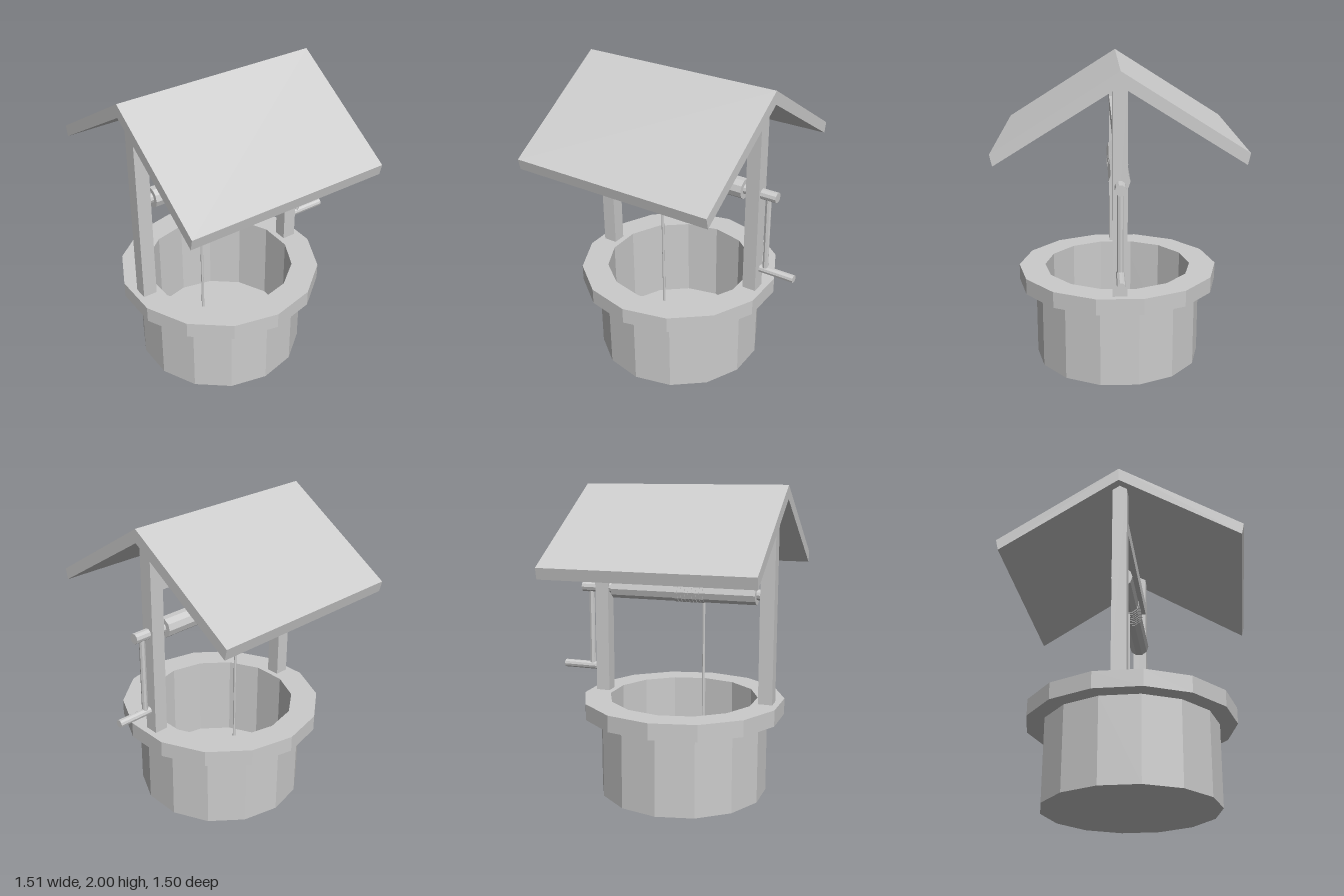
import * as THREE from 'three';

const material = new THREE.MeshStandardMaterial({ color: 0xcccccc, flatShading: true });
const CX = -0.095; // centre line of the well itself (the crank sticks out to +x)
const AXLE_Y = 1.323;

export function createModel() {
  const group = new THREE.Group();

  const add = (name, geometry, x = 0, y = 0, z = 0) => {
    const mesh = new THREE.Mesh(geometry, material);
    mesh.name = name;
    mesh.position.set(x, y, z);
    group.add(mesh);
    return mesh;
  };
  const box = (name, x0, x1, y0, y1, depth) =>
    add(name, new THREE.BoxGeometry(x1 - x0, y1 - y0, depth), (x0 + x1) / 2, (y0 + y1) / 2);
  // Cylinder lying along x
  const rodX = (name, x0, x1, y, r, sides = 10) =>
    add(name, new THREE.CylinderGeometry(r, r, x1 - x0, sides).rotateZ(Math.PI / 2), (x0 + x1) / 2, y);
  // Upright cylinder
  const rodY = (name, x, y0, y1, r, sides = 8) =>
    add(name, new THREE.CylinderGeometry(r, r, y1 - y0, sides), x, (y0 + y1) / 2);
  const lathe = (name, points) =>
    add(name, new THREE.LatheGeometry(points.map(p => new THREE.Vector2(...p)), 14), CX);

  // Hollow stone wall with a floor, and the wider rim on top
  lathe('wellWall', [[0, 0], [0.55, 0], [0.55, 0.525], [0.487, 0.525], [0.487, 0.06], [0, 0.06]]);
  lathe('wellRim', [[0.487, 0.525], [0.66, 0.525], [0.66, 0.63], [0.487, 0.63], [0.487, 0.525]]);

  // Posts and the beam between them
  box('leftPost', 0.417, 0.508, 0.63, 1.915, 0.09);
  box('rightPost', -0.7, -0.608, 0.63, 1.915, 0.09);
  box('crossBeam', -0.608, 0.417, 1.6, 1.69, 0.09);

  // Gable roof: chevron section extruded along x
  const section = new THREE.Shape([
    [0, 2], [-0.75, 1.53], [-0.735, 1.46], [0, 1.915], [0.735, 1.46], [0.75, 1.53],
  ].map(p => new THREE.Vector2(...p)));
  const roof = new THREE.ExtrudeGeometry(section, { depth: 1.328, bevelEnabled: false });
  add('roof', roof.rotateY(Math.PI / 2), -0.76);

  // Windlass: axle, drum, rope windings and hanging rope
  rodX('axle', -0.62, 0.613, AXLE_Y, 0.034);
  rodX('drum', -0.58, 0.39, AXLE_Y, 0.066);
  const turns = 8, pitch = 0.0245;
  for (let i = 0; i < turns; i++) {
    const x = -0.241 + i * pitch;
    rodX('ropeWinding', x, x + pitch * 0.82, AXLE_Y, 0.07);
  }
  rodY('rope', -0.231, 0.06, AXLE_Y - 0.05, 0.009);

  // Crank
  rodY('crankArm', 0.553, 0.785, AXLE_Y, 0.019);
  rodX('crankHandle', 0.518, 0.755, 0.786, 0.026);

  return group;
}
